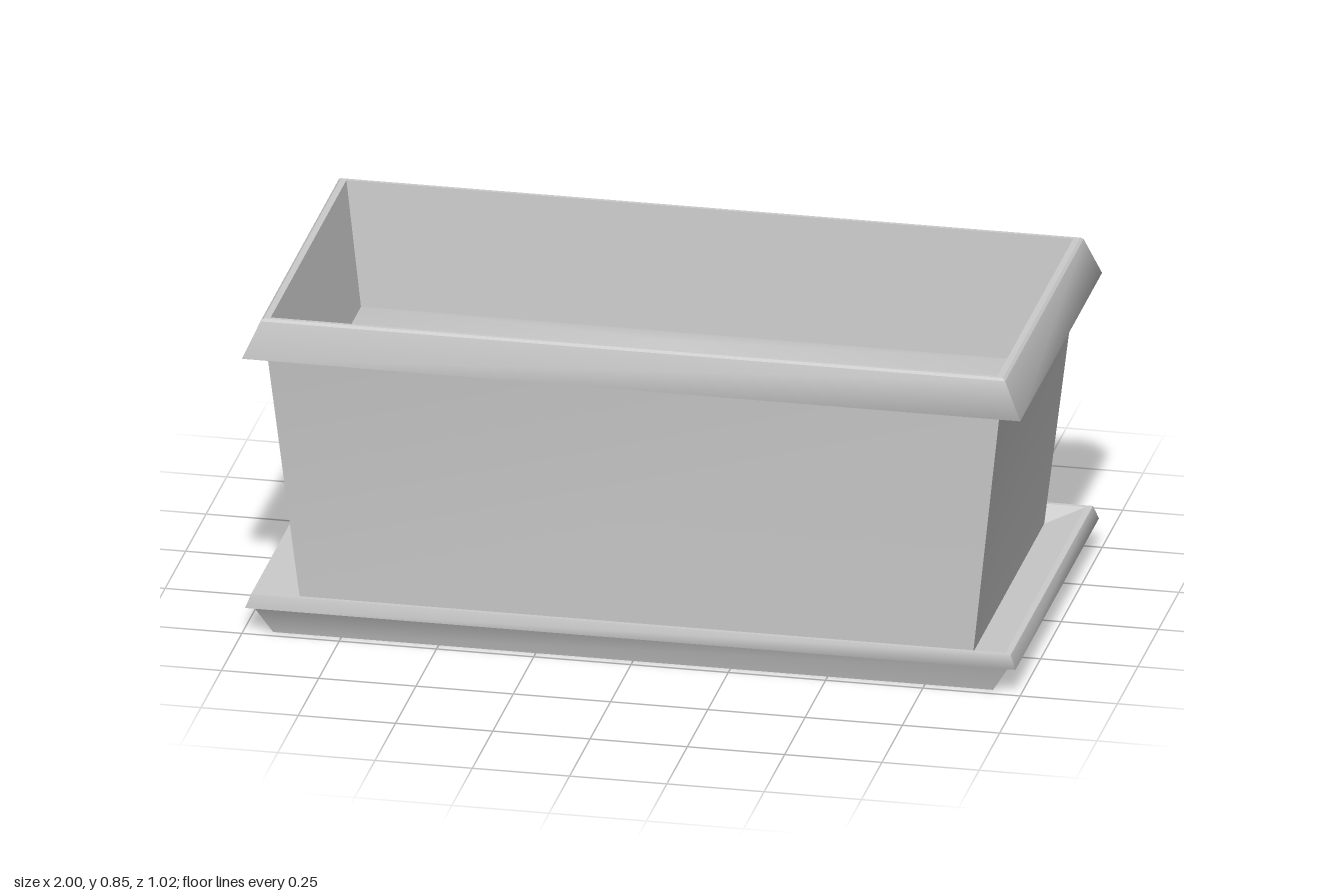
import * as THREE from 'three';

function buildMesh(name, positions, indices, material) {
  const geometry = new THREE.BufferGeometry();
  geometry.setAttribute('position', new THREE.Float32BufferAttribute(positions, 3));
  geometry.setIndex(indices);
  geometry.computeVertexNormals();
  const mesh = new THREE.Mesh(geometry, material);
  mesh.name = name;
  return mesh;
}

// Skins rectangular loops [halfX, halfZ, y], ordered from the underside, up the
// outside, over the rim and down the inside; both ends are capped. The first
// smoothCount loops shade smoothly up each side; all other edges stay sharp.
function rectangularShell(name, profile, smoothCount, material) {
  const corners = profile.map(([x, z, y]) => [
    [x, y, z], [x, y, -z], [-x, y, -z], [-x, y, z],
  ]);
  const positions = [];
  const indices = [];

  // Strip of quads through pairs of points, sharing vertices along its length
  const strip = (pairs) => {
    const base = positions.length / 3;
    pairs.forEach(([a, b], i) => {
      positions.push(...a, ...b);
      if (i === 0) return;
      const p = base + 2 * (i - 1);
      indices.push(p, p + 1, p + 3, p, p + 3, p + 2);
    });
  };

  for (let k = 0; k < 4; k++) {
    const side = corners.map((loop) => [loop[k], loop[(k + 1) % 4]]);
    strip(side.slice(0, smoothCount));
    for (let i = smoothCount; i < side.length; i++) strip([side[i - 1], side[i]]);
  }
  const first = corners[0];
  const last = corners[corners.length - 1];
  strip([[first[3], first[2]], [first[0], first[1]]]); // underside
  strip([[last[0], last[1]], [last[3], last[2]]]); // inner floor

  return buildMesh(name, positions, indices, material);
}

// Four softly shaded slopes rising from a rectangle to a central peak
function mound(name, x, z, edgeY, peakY, material) {
  const positions = [
    x, edgeY, z, x, edgeY, -z, -x, edgeY, -z, -x, edgeY, z, 0, peakY, 0,
  ];
  const indices = [0, 1, 4, 1, 2, 4, 2, 3, 4, 3, 0, 4];
  return buildMesh(name, positions, indices, material);
}

export function createModel() {
  const group = new THREE.Group();
  group.name = 'planterBox';
  const material = new THREE.MeshStandardMaterial({ color: 0xcccccc });

  // Tapered box with an overhanging, sloped collar
  const planter = rectangularShell('planter', [
    [0.862, 0.431, 0.05],
    [0.94, 0.47, 0.741],
    [1.0, 0.5, 0.747],
    [0.957, 0.479, 0.844],
    [0.95, 0.472, 0.85],
    [0.934, 0.462, 0.85],
    [0.893, 0.445, 0.515],
  ], 4, material);

  // Heaped soil filling the box
  const soil = mound('soil', 0.893, 0.445, 0.516, 0.68, material);

  // Shallow drip tray with a stepped lip, sloping in to the planter
  const tray = rectangularShell('dripTray', [
    [0.925, 0.475, 0],
    [0.968, 0.497, 0.07],
    [0.99, 0.51, 0.074],
    [0.976, 0.502, 0.11],
    [0.96, 0.491, 0.11],
    [0.865, 0.432, 0.08],
  ], 4, material);

  group.add(planter, soil, tray);
  return group;
}
